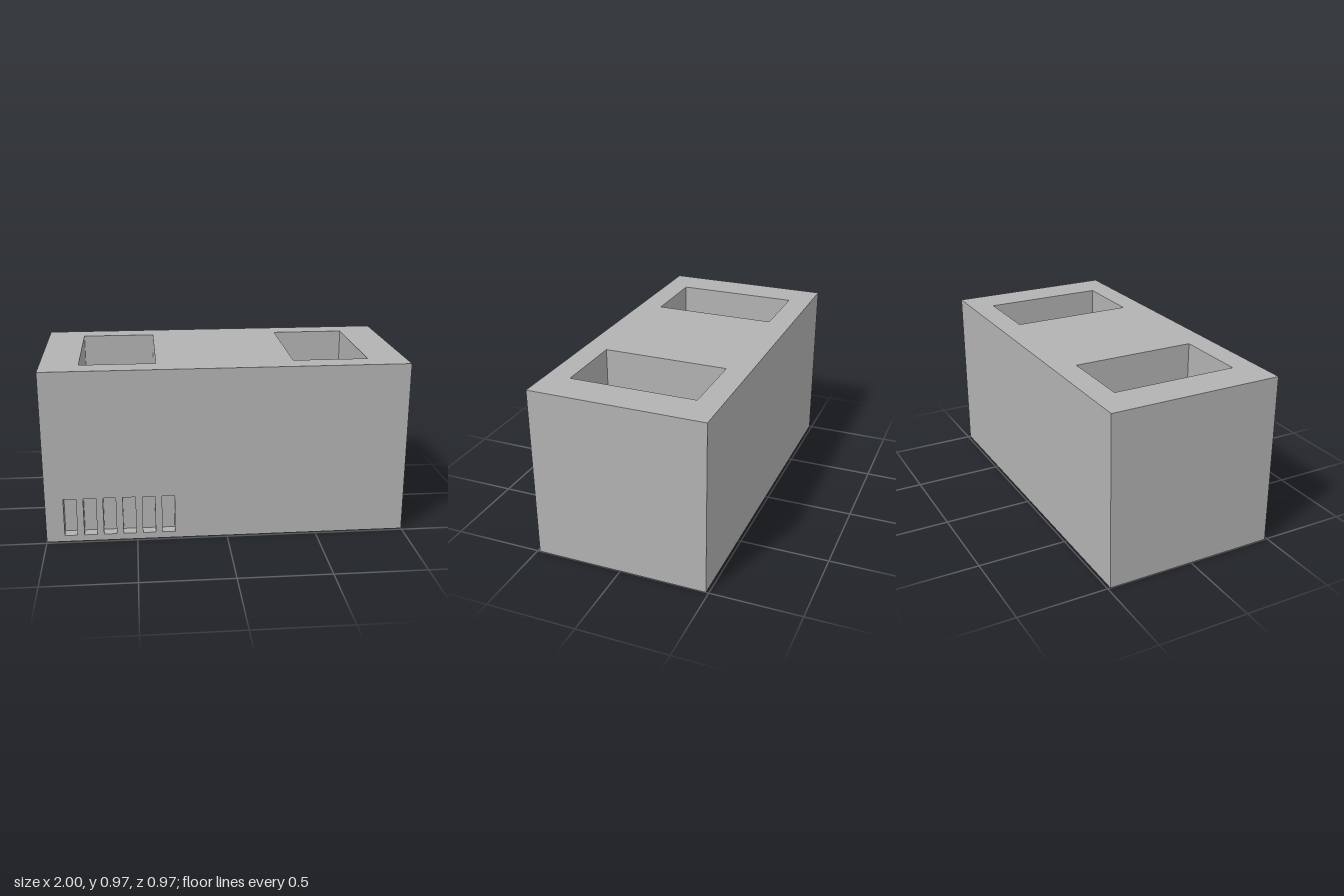
import * as THREE from 'three';
import { mergeGeometries } from 'three/addons/utils/BufferGeometryUtils.js';

const WIDTH = 2, HEIGHT = 0.97, DEPTH = 0.97;

function rectangle(path, x, y, w, h) {
  path.moveTo(x - w / 2, y - h / 2);
  path.lineTo(x + w / 2, y - h / 2);
  path.lineTo(x + w / 2, y + h / 2);
  path.lineTo(x - w / 2, y + h / 2);
  path.closePath();
  return path;
}

// Flat panel facing +z, cut by rectangular recesses with walls and a floor
function recessedPanel(w, h, recesses) {
  const shape = rectangle(new THREE.Shape(), 0, 0, w, h);
  const parts = [];
  for (const r of recesses) {
    shape.holes.push(rectangle(new THREE.Path(), r.x, r.y, r.w, r.h));
    const q = Math.PI / 2, d = r.d;
    parts.push(
      new THREE.PlaneGeometry(d, r.h).rotateY(q).translate(r.x - r.w / 2, r.y, -d / 2),
      new THREE.PlaneGeometry(d, r.h).rotateY(-q).translate(r.x + r.w / 2, r.y, -d / 2),
      new THREE.PlaneGeometry(r.w, d).rotateX(-q).translate(r.x, r.y - r.h / 2, -d / 2),
      new THREE.PlaneGeometry(r.w, d).rotateX(q).translate(r.x, r.y + r.h / 2, -d / 2),
      new THREE.PlaneGeometry(r.w, r.h).translate(r.x, r.y, -d)
    );
  }
  return mergeGeometries([new THREE.ShapeGeometry(shape), ...parts]);
}

export function createModel() {
  const model = new THREE.Group();
  model.name = 'ventedBlock';
  const grey = new THREE.MeshStandardMaterial({ color: 0xb2b2b2 });
  grey.name = 'grey';

  const add = (name, geometry) => {
    const mesh = new THREE.Mesh(geometry, grey);
    mesh.name = name;
    model.add(mesh);
  };

  // Front with a row of six shallow vent slots
  const slots = [];
  for (let i = 0; i < 6; i++) {
    slots.push({ x: -0.865 + i * 0.108, y: 0.143 - HEIGHT / 2, w: 0.07, h: 0.215, d: 0.065 });
  }
  add('frontWithVents', recessedPanel(WIDTH, HEIGHT, slots).translate(0, HEIGHT / 2, DEPTH / 2));

  // Top with two deep mirrored wells
  const wells = [-1, 1].map((s) => ({ x: s * 0.582, y: 0, w: 0.414, h: 0.702, d: 0.7 }));
  add('topWithWells', recessedPanel(WIDTH, DEPTH, wells).rotateX(-Math.PI / 2).translate(0, HEIGHT, 0));

  // Plain back, base and ends
  add('back', new THREE.PlaneGeometry(WIDTH, HEIGHT).rotateY(Math.PI).translate(0, HEIGHT / 2, -DEPTH / 2));
  add('base', new THREE.PlaneGeometry(WIDTH, DEPTH).rotateX(Math.PI / 2));
  for (const s of [-1, 1]) {
    add(s > 0 ? 'leftEnd' : 'rightEnd',
      new THREE.PlaneGeometry(DEPTH, HEIGHT).rotateY(s * Math.PI / 2).translate(s * WIDTH / 2, HEIGHT / 2, 0));
  }
  return model;
}
